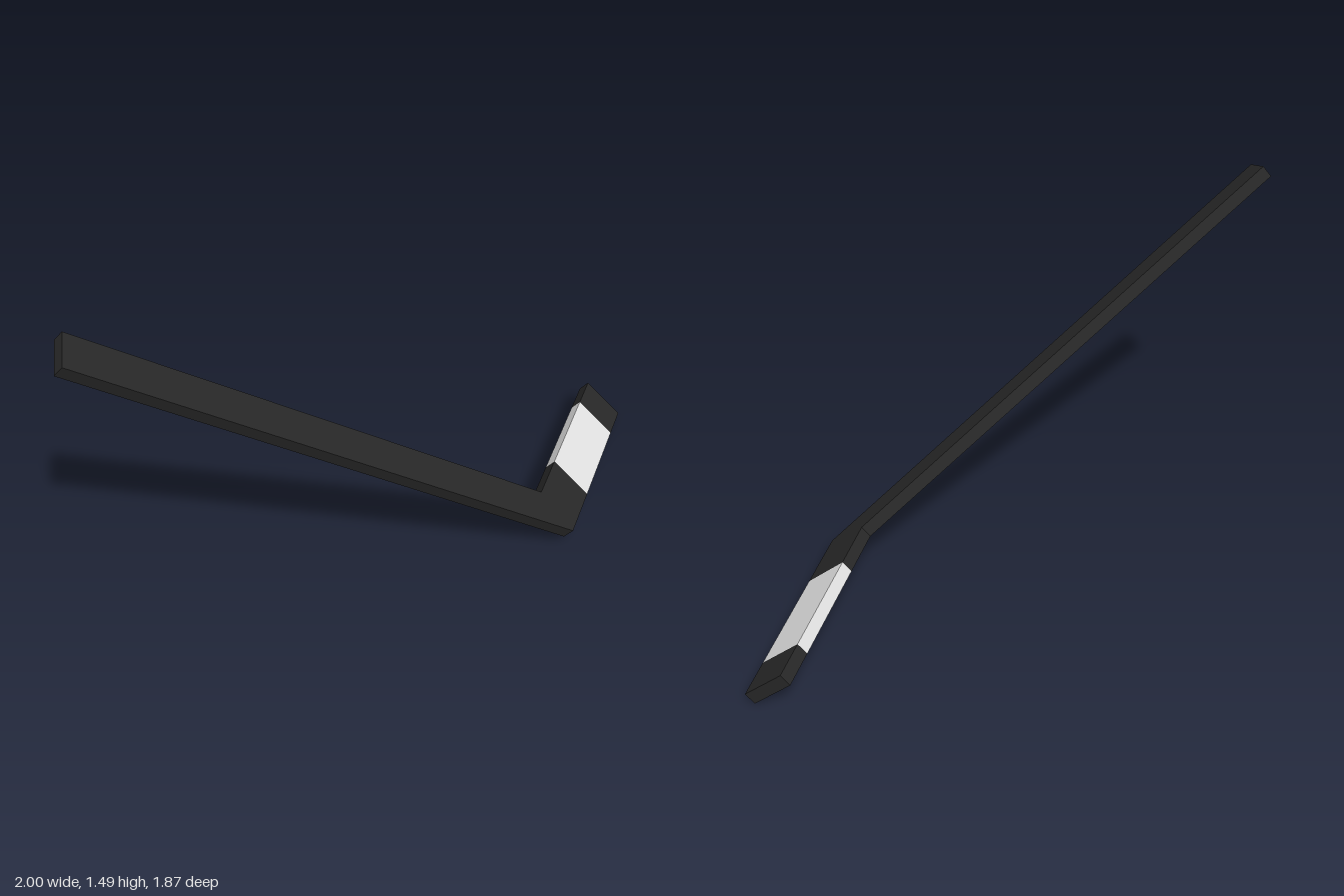
import * as THREE from 'three';

const DEPTH = 0.054;

// Lower outer edge points of the stick: grip end, heel and toe
const grip = new THREE.Vector3(-0.93, 1.448, 0.935);
const heel = new THREE.Vector3(0.807, 0.097, 0.01);
const toe = new THREE.Vector3(1.0, 0.046, -0.89);

// Shaft and blade lie flat in one tilted plane
const normal = heel.clone().sub(grip).cross(toe.clone().sub(heel)).normalize();

// Flat bar along the edge a-b, covering the fractions s0 to s1 of its length
function bar(name, a, b, width, s0, s1, material) {
  const along = b.clone().sub(a);
  const length = along.length();
  along.normalize();
  const across = normal.clone().cross(along);
  const mesh = new THREE.Mesh(
    new THREE.BoxGeometry(length * (s1 - s0), width, DEPTH), material);
  mesh.name = name;
  mesh.quaternion.setFromRotationMatrix(
    new THREE.Matrix4().makeBasis(along, across, normal));
  mesh.position.copy(a)
    .addScaledVector(along, length * (s0 + s1) / 2)
    .addScaledVector(across, width / 2)
    .addScaledVector(normal, -DEPTH / 2);
  return mesh;
}

export function createModel() {
  const black = new THREE.MeshStandardMaterial({ color: 0x282828 });
  black.name = 'black';
  const white = new THREE.MeshStandardMaterial({ color: 0xe6e6e6 });
  white.name = 'white';

  const stick = new THREE.Group();
  stick.name = 'hockeyStick';
  stick.add(bar('shaft', grip, heel, 0.148, 0, 1, black));

  // Blade with a broad white band around its middle
  const blade = new THREE.Group();
  blade.name = 'blade';
  blade.add(
    bar('bladeHeel', heel, toe, 0.206, 0, 0.29, black),
    bar('bladeBand', heel, toe, 0.206, 0.29, 0.815, white),
    bar('bladeToe', heel, toe, 0.206, 0.815, 1, black));
  stick.add(blade);
  return stick;
}
